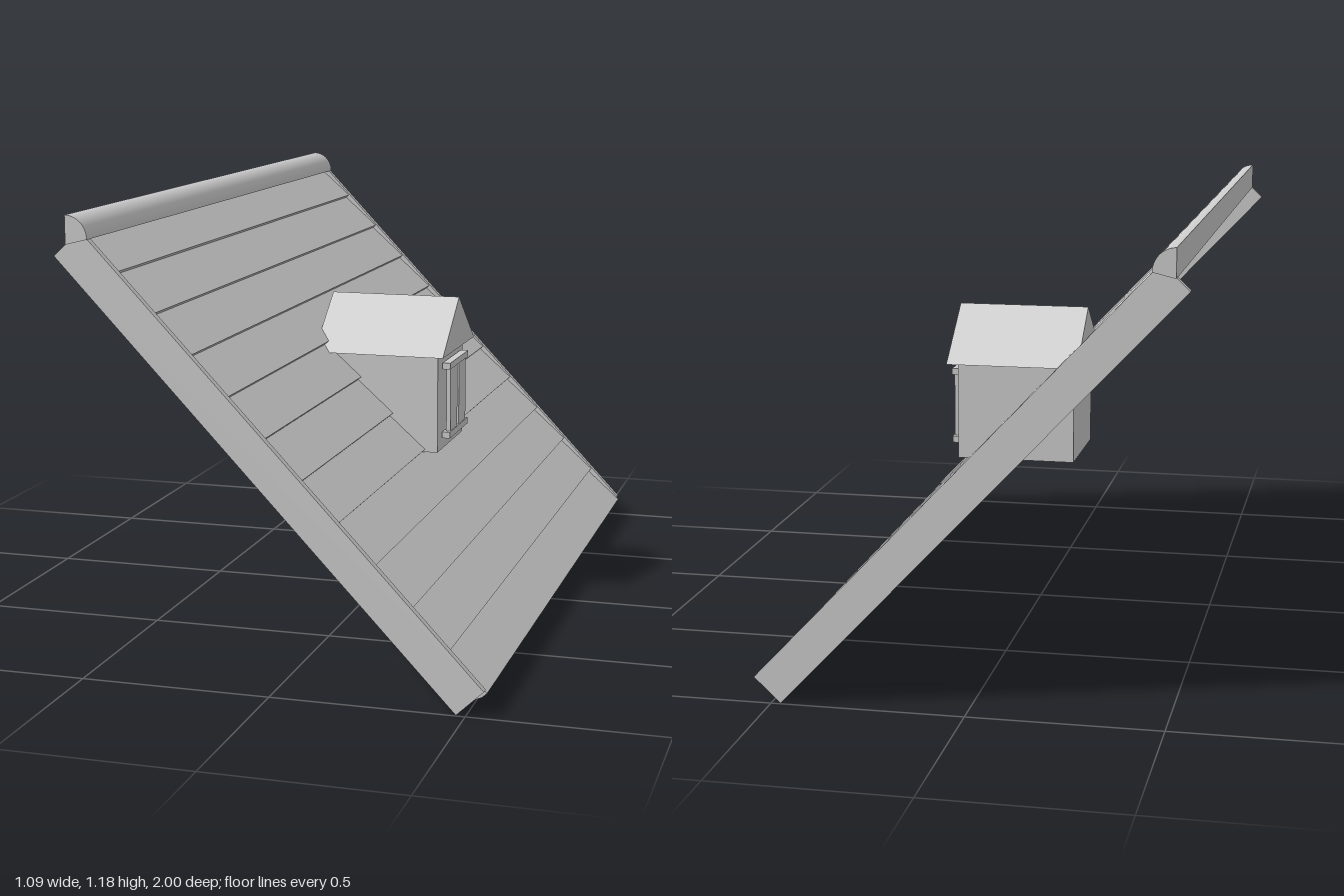
import * as THREE from 'three';

// Roof slope frame: t runs down the slope, d is depth below the top line
const TOP = { x: -0.476, y: 1.151 };
const DOWN = { x: 0.687, y: -0.727 };
const OUT = { x: 0.727, y: 0.687 };
const LENGTH = 1.486;
const slope = (t, d) => [
  TOP.x + DOWN.x * t - OUT.x * d,
  TOP.y + DOWN.y * t - OUT.y * d,
];

const grey = new THREE.MeshStandardMaterial({ color: 0xcccccc });
grey.name = 'light grey';

function add(parent, name, geometry) {
  const mesh = new THREE.Mesh(geometry, grey);
  mesh.name = name;
  parent.add(mesh);
  return mesh;
}

// Extrude a side profile from z0 to z1
function extrude(shape, z0, z1) {
  const g = new THREE.ExtrudeGeometry(shape, { depth: z1 - z0, bevelEnabled: false, curveSegments: 10 });
  g.translate(0, 0, z0);
  return g;
}
const polygon = (pts) => new THREE.Shape(pts.map(([x, y]) => new THREE.Vector2(x, y)));

function box(parent, name, x0, x1, y0, y1, z0, z1) {
  const mesh = add(parent, name, new THREE.BoxGeometry(x1 - x0, y1 - y0, z1 - z0));
  mesh.position.set((x0 + x1) / 2, (y0 + y1) / 2, (z0 + z1) / 2);
}

export function createModel() {
  const model = new THREE.Group();
  model.name = 'roofWithDormer';

  // Lapped planks: each rises toward its lower edge, then steps down
  const profile = [slope(0, 0.045), slope(LENGTH, 0.045)];
  const pitch = 0.136;
  const end = LENGTH + 0.009;
  const lap = [];
  for (let i = 0; i < 11; i++) {
    const low = end - i * pitch;
    const high = Math.max(0, low - pitch);
    lap.push(slope(low, 0.003), slope(high, 0.015));
  }
  profile.push(slope(end, 0.02), ...lap);
  add(model, 'planks', extrude(polygon(profile), -0.977, 0.977));

  // Boards closing both ends of the slope
  const board = polygon([slope(0, 0.095), slope(LENGTH, 0.095), slope(LENGTH, 0), slope(0, 0)]);
  add(model, 'endBoardLeft', extrude(board, 0.976, 0.996));
  add(model, 'endBoardRight', extrude(board, -0.996, -0.976));

  // Quarter-round ridge cap
  const cap = new THREE.Shape();
  cap.moveTo(-0.512, 1.115);
  cap.lineTo(-0.455, 1.129);
  cap.absarc(-0.512, 1.131, 0.057, 0, Math.PI / 2, false);
  cap.closePath();
  add(model, 'ridgeCap', extrude(cap, -1, 1));

  // Dormer
  const dormer = new THREE.Group();
  dormer.name = 'dormer';
  model.add(dormer);
  box(dormer, 'dormerBody', -0.122, 0.211, 0.45, 0.728, -0.147, 0.147);

  // Gable prism running along x
  const gable = extrude(polygon([[-0.187, 0.727], [0.187, 0.727], [0, 0.872]]), -0.235, 0.138);
  gable.rotateY(-Math.PI / 2);
  add(dormer, 'dormerRoof', gable);

  // Window: two rails and a pair of panels
  for (const [name, y] of [['windowSill', 0.484], ['windowHead', 0.682]]) {
    box(dormer, name, 0.215, 0.237, y, y + 0.018, -0.108, 0.108);
  }
  box(dormer, 'windowPanelLeft', 0.222, 0.234, 0.5, 0.684, -0.09, -0.009);
  box(dormer, 'windowPanelRight', 0.222, 0.234, 0.5, 0.684, 0.009, 0.09);

  return model;
}
